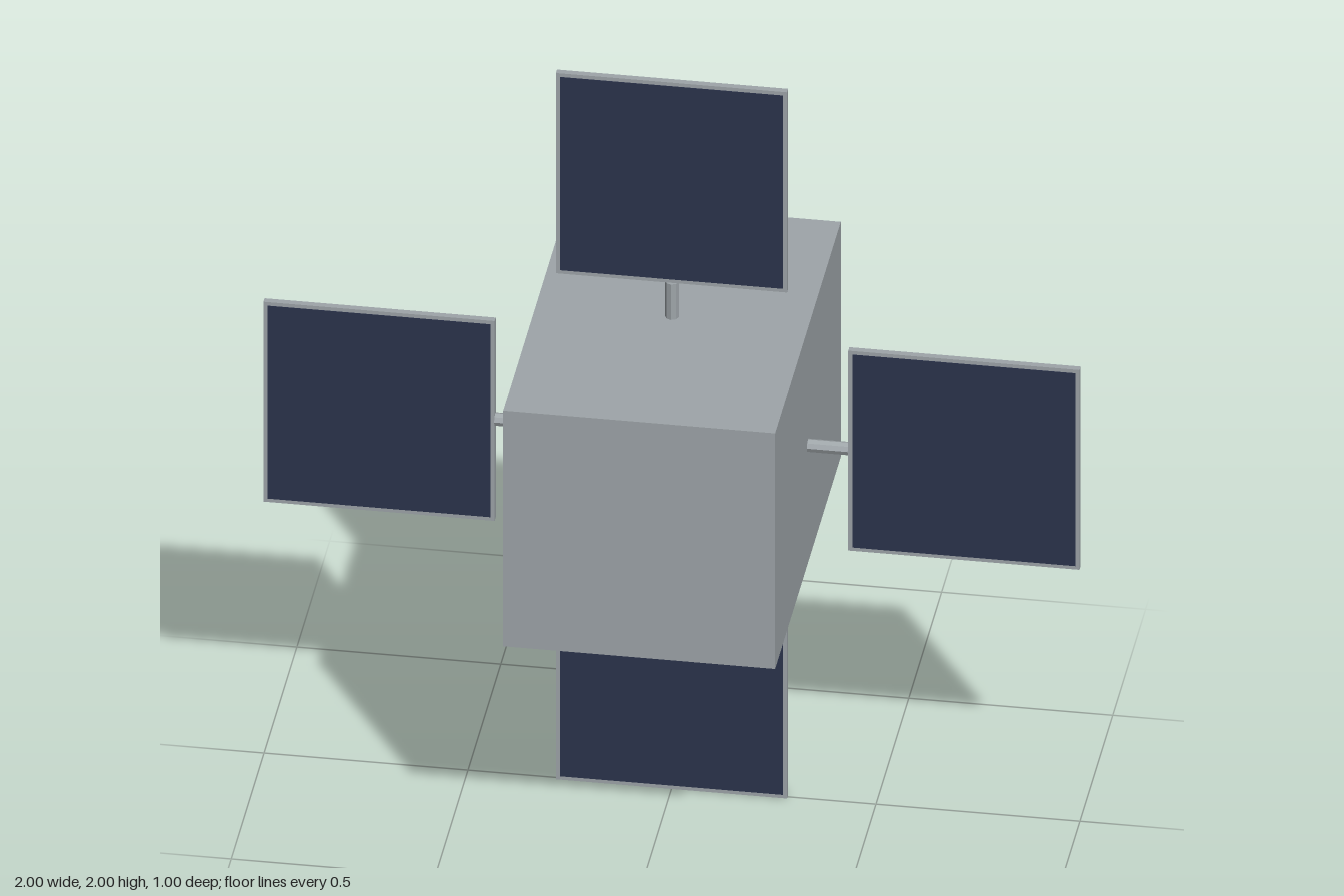
import * as THREE from 'three';

const BODY = 2 / 3, DEPTH = 1, STRUT = 0.1, PANEL = 0.5667, THICK = 0.0167;

export function createModel() {
  const model = new THREE.Group();
  model.name = 'satellite';

  const grey = new THREE.MeshStandardMaterial({ color: 0x9ea5a9, flatShading: true });
  grey.name = 'metal grey';
  const navy = new THREE.MeshStandardMaterial({ color: 0x2b334d, flatShading: true });
  navy.name = 'solar navy';

  const add = (parent, name, geometry, material, y = 0, z = 0) => {
    const mesh = new THREE.Mesh(geometry, material);
    mesh.name = name;
    mesh.position.set(0, y, z);
    parent.add(mesh);
  };

  // Central box
  add(model, 'body', new THREE.BoxGeometry(BODY, BODY, DEPTH), grey, 1);

  // Four arms around the body, each a strut with a solar panel at its end
  const strut = new THREE.CylinderGeometry(0.0167, 0.0167, STRUT, 8);
  const frame = new THREE.BoxGeometry(PANEL, PANEL, THICK);
  const cells = new THREE.BoxGeometry(PANEL - 0.02, PANEL - 0.02, 0.002);
  ['top', 'left', 'bottom', 'right'].forEach((side, i) => {
    const arm = new THREE.Group();
    arm.name = side + 'Arm';
    arm.position.y = 1;
    arm.rotation.z = -i * Math.PI / 2;
    add(arm, side + 'Strut', strut, grey, BODY / 2 + STRUT / 2);
    const panelY = BODY / 2 + STRUT + PANEL / 2;
    add(arm, side + 'PanelFrame', frame, grey, panelY);
    add(arm, side + 'SolarCells', cells, navy, panelY, THICK / 2);
    model.add(arm);
  });

  return model;
}
